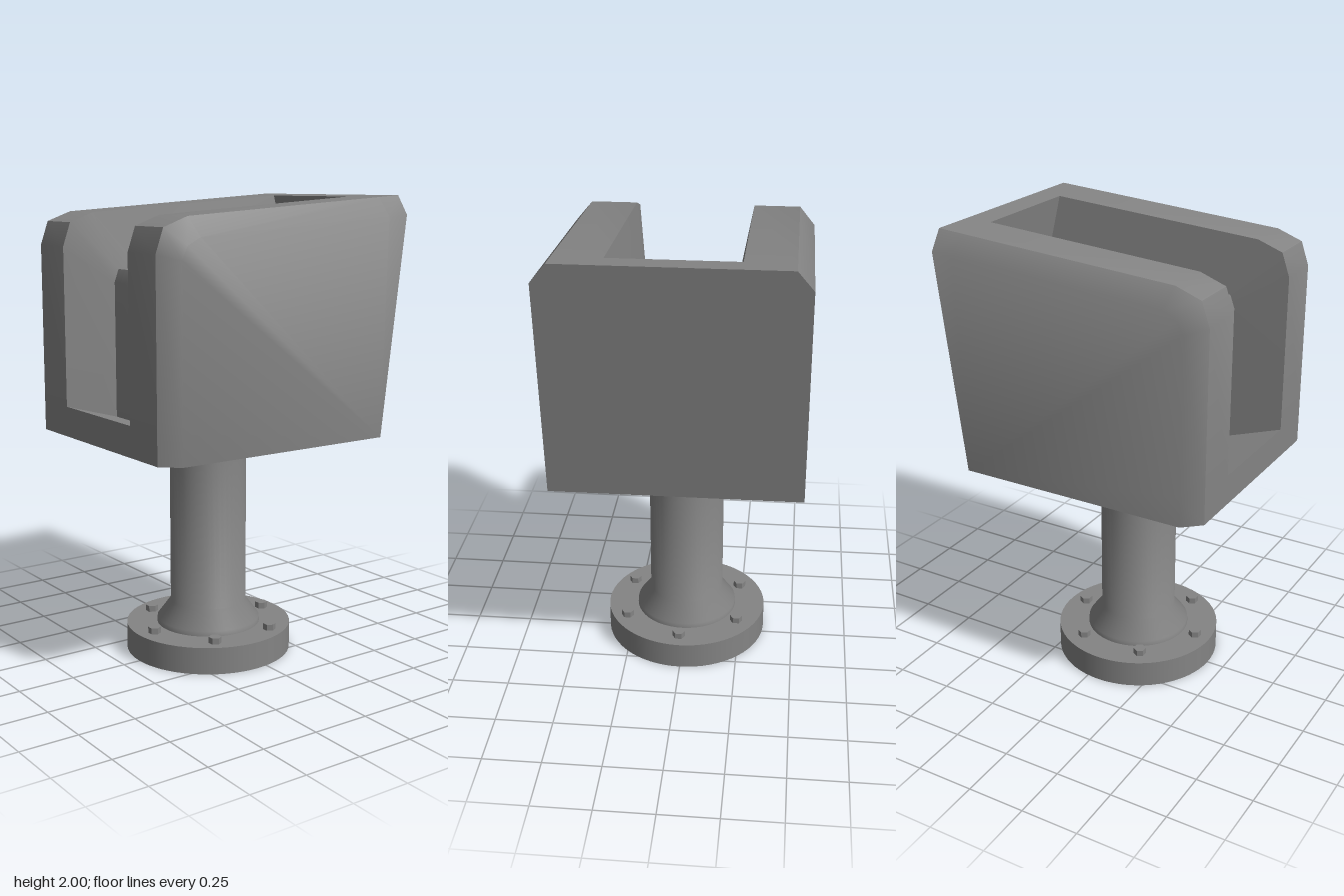
import * as THREE from 'three';
import { toCreasedNormals } from 'three/addons/utils/BufferGeometryUtils.js';

const CREASE = 0.8;
const POST_X = -0.056;

// Stations round the housing profile, each [side edge, land, groove floor] as x, y
const STATIONS = [
  [[-0.535, 0.98], [-0.61, 0.98]],
  [[-0.535, 1.11], [-0.61, 1.11]],
  [[-0.535, 1.11], [-0.61, 1.11], [-0.39, 1.05]],
  [[-0.535, 1.77], [-0.61, 1.79], [-0.39, 1.635]],
  [[-0.51, 1.822], [-0.575, 1.89], [-0.37, 1.69]],
  [[-0.45, 1.853], [-0.465, 1.93], [-0.28, 1.708]],
  [[0.5, 1.914], [0.5, 1.993], [0.53, 1.76]],
  [[0.5, 1.914], [0.5, 1.993]],
  [[0.599, 1.92], [0.608, 2]],
  [[0.48, 0.98], [0.48, 0.98]],
];

// Chamfered housing with a groove along its top and down its open end
function housingGeometry() {
  const rows = STATIONS.map(([side, land, floor = land]) => {
    const floorZ = floor === land ? 0.26 : 0.215;
    const half = [[side, 0.526], [land, 0.46], [land, 0.26], [floor, floorZ]];
    const point = ([p, z], s) => new THREE.Vector3(p[0], p[1], s * z);
    return [...half.map(h => point(h, 1)), ...half.reverse().map(h => point(h, -1))];
  });
  const positions = [];
  const triangle = (a, b, c) => {
    const t = new THREE.Triangle(a, b, c);
    if (t.getArea() > 1e-7) for (const v of [a, b, c]) positions.push(v.x, v.y, v.z);
  };
  const n = rows.length;
  for (let i = 0; i < n; i++) {
    const r = rows[i], q = rows[(i + 1) % n];
    for (let j = 0; j < r.length - 1; j++) {
      triangle(r[j], q[j], q[j + 1]);
      triangle(r[j], q[j + 1], r[j + 1]);
    }
  }
  // flat side faces, fanned from the lower corner of the closed end
  const corner = rows[n - 1];
  for (let i = 0; i < n - 2; i++) {
    triangle(corner[0], rows[i + 1][0], rows[i][0]);
    triangle(corner[7], rows[i][7], rows[i + 1][7]);
  }
  const geometry = new THREE.BufferGeometry();
  geometry.setAttribute('position', new THREE.Float32BufferAttribute(positions, 3));
  return toCreasedNormals(geometry, CREASE);
}

export function createModel() {
  const group = new THREE.Group();
  const material = new THREE.MeshStandardMaterial({ color: 0x848484 });
  const add = (name, geometry, x = 0, y = 0, z = 0) => {
    const mesh = new THREE.Mesh(geometry, material);
    mesh.name = name;
    mesh.position.set(x, y, z);
    group.add(mesh);
  };

  add('housing', housingGeometry());

  // Post with a flared foot
  const profile = [[0.23, 0.11], [0.228, 0.14], [0.168, 0.22], [0.168, 0.985]]
    .map(([r, y]) => new THREE.Vector2(r, y));
  add('post', toCreasedNormals(new THREE.LatheGeometry(profile, 48), CREASE), POST_X);

  // Base flange and its ring of hexagonal bolts
  add('baseFlange', new THREE.CylinderGeometry(0.365, 0.365, 0.118, 64), POST_X, 0.059);
  const bolt = toCreasedNormals(new THREE.CylinderGeometry(0.028, 0.028, 0.03, 6), 0.5);
  for (let i = 0; i < 6; i++) {
    const a = (i * Math.PI) / 3;
    add('bolt', bolt, POST_X + 0.292 * Math.cos(a), 0.13, 0.01 + 0.292 * Math.sin(a));
  }
  return group;
}
